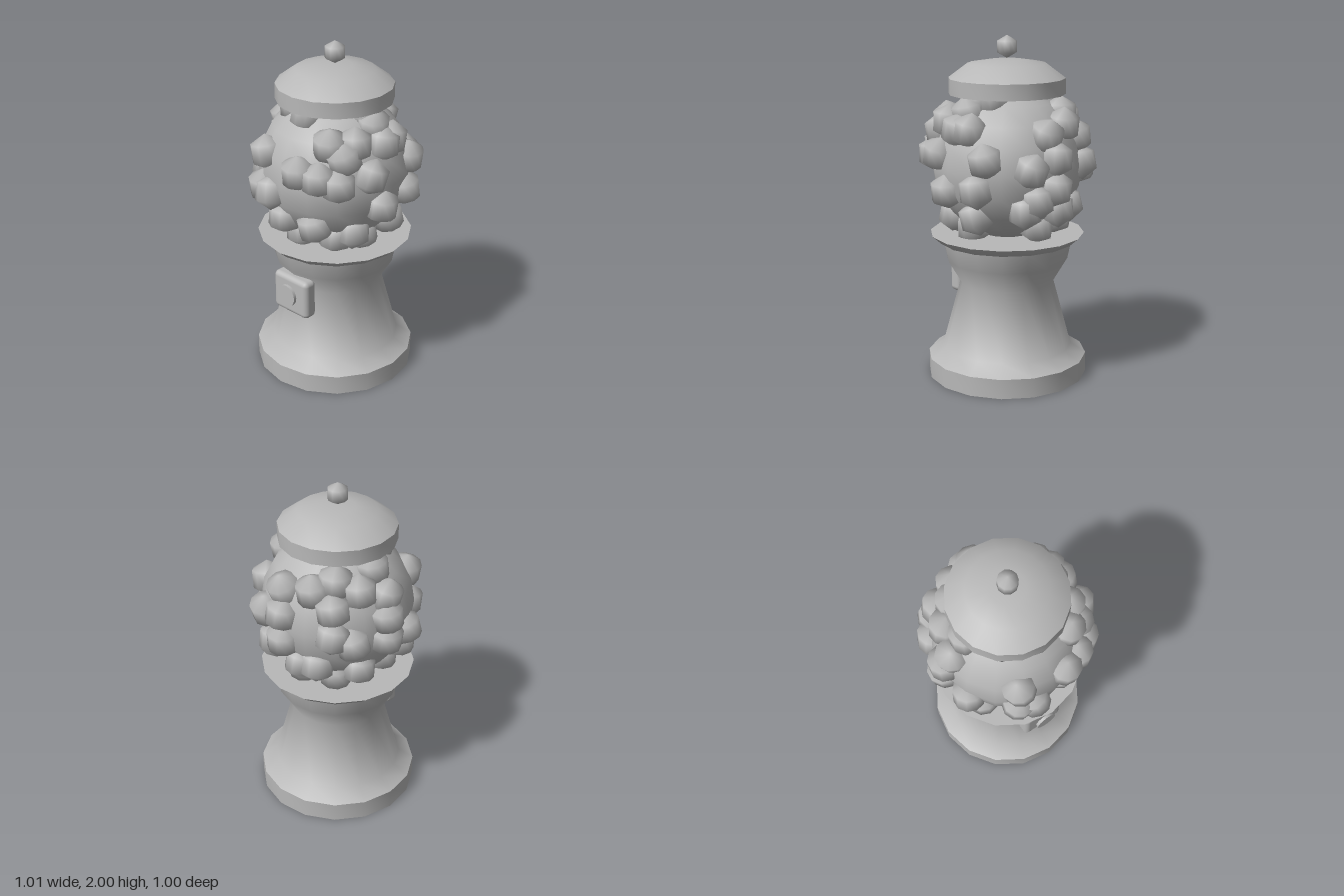
import * as THREE from 'three';
import { toCreasedNormals } from 'three/addons/utils/BufferGeometryUtils.js';
import { RoundedBoxGeometry } from 'three/addons/geometries/RoundedBoxGeometry.js';

const AXIS_X = 0.007; // the turned axis sits a touch off centre, as the balls are uneven
const GLOBE_Y = 1.27;
const BALL_ORBIT = 0.42;

// Ball centres as [across, up] offsets on one side of the globe,
// each side turned by yaw and pitch in degrees.
const BALL_PATCHES = [
  { yaw: 0, pitch: 0, spots: [
    [-0.18, 0.13], [-0.19, -0.07], [-0.11, -0.08], [-0.15, -0.02], [-0.06, -0.23], [-0.31, -0.21],
    [-0.38, -0.08], [-0.29, 0.34], [-0.14, 0.36], [0, 0.36],
    [0.21, 0.25], [0.10, 0.10], [0.21, 0.08], [0.30, 0.05], [0.29, 0.19], [0.38, 0.24],
    [0.14, -0.24], [-0.22, -0.33], [-0.02, -0.34], [0.18, -0.33], [0.23, 0.36]] },
  { yaw: 90, pitch: 0, spots: [
    [-0.13, 0.08], [-0.16, 0.25], [0, 0.31], [0.08, 0.23], [0.22, 0.08], [0.17, -0.09],
    [-0.05, -0.12], [0.33, -0.21], [0.10, -0.26], [-0.14, -0.29], [0.07, 0.38],
    [0.42, 0.08], [0.42, -0.09], [0.26, -0.33], [-0.03, -0.35]] },
  { yaw: 225, pitch: 24, spots: [
    [-0.28, 0.09], [0, 0.14], [0.13, 0.09], [-0.12, 0.09], [-0.01, -0.01],
    [-0.01, -0.16], [0.10, -0.20], [-0.19, -0.33], [-0.10, -0.34], [0, -0.40], [0.13, -0.36],
    [0.27, 0.07], [0.28, -0.05], [0.28, -0.17]] },
  { yaw: 135, pitch: -27, spots: [[0.19, 0.02], [0.16, 0.20]] },
];

function ballCentres() {
  const centres = [];
  for (const { yaw, pitch, spots } of BALL_PATCHES) {
    const turn = new THREE.Euler(
      -THREE.MathUtils.degToRad(pitch), THREE.MathUtils.degToRad(yaw), 0, 'YXZ');
    for (const [u, v] of spots) {
      const depth = Math.sqrt(Math.max(0, BALL_ORBIT ** 2 - u * u - v * v));
      const p = new THREE.Vector3(u, v, depth).setLength(BALL_ORBIT).applyEuler(turn);
      // Neighbouring patches overlap, so skip repeats.
      if (centres.every((c) => c.distanceTo(p) > 0.07)) centres.push(p);
    }
  }
  return centres;
}

export function createModel() {
  const group = new THREE.Group();
  const grey = new THREE.MeshStandardMaterial({ color: 0xb8b8b8 });
  grey.name = 'plain grey';

  const add = (name, geometry, x = AXIS_X, y = 0, z = 0, parent = group) => {
    const mesh = new THREE.Mesh(geometry, grey);
    mesh.name = name;
    mesh.position.set(x, y, z);
    parent.add(mesh);
    return mesh;
  };
  // Lathed part: gentle bends stay smooth, hard rims stay sharp
  const turned = (name, profile) => add(name, toCreasedNormals(
    new THREE.LatheGeometry(profile.map(([r, y]) => new THREE.Vector2(r, y)), 16), 0.9));

  // Pedestal
  turned('pedestal', [[0, 0], [0.47, 0], [0.47, 0.115], [0.38, 0.175],
    [0.275, 0.565], [0.355, 0.70], [0.38, 0.82]]);
  turned('tray', [[0.37, 0.815], [0.40, 0.815], [0.45, 0.86], [0, 0.86]]);

  // Coin mechanism
  add('coinBox', new RoundedBoxGeometry(0.265, 0.24, 0.09, 3, 0.03), AXIS_X, 0.555, 0.337);
  add('coinKnob', new THREE.CylinderGeometry(0.066, 0.066, 0.018, 16), AXIS_X, 0.565, 0.402)
    .rotation.x = Math.PI / 2;

  // Globe studded with balls
  add('globe', new THREE.SphereGeometry(0.437, 16, 10), AXIS_X, GLOBE_Y, 0);
  const balls = new THREE.Group();
  balls.name = 'gumballs';
  balls.position.set(AXIS_X, GLOBE_Y, 0);
  group.add(balls);
  const ballGeometry = new THREE.SphereGeometry(0.105, 10, 3);
  ballCentres().forEach((p, i) => {
    const ball = add('gumball', ballGeometry, p.x, p.y, p.z, balls);
    ball.rotation.set(0.2 * Math.sin(i * 2.1), i * 1.3, 0.2 * Math.cos(i * 1.7));
  });

  // Lid and finial
  turned('lid', [[0, 1.67], [0.335, 1.67], [0.335, 1.76], [0.225, 1.842], [0.1, 1.862], [0, 1.866]]);
  add('finial', new THREE.SphereGeometry(0.065, 10, 3), AXIS_X, 1.935, 0);

  return group;
}
